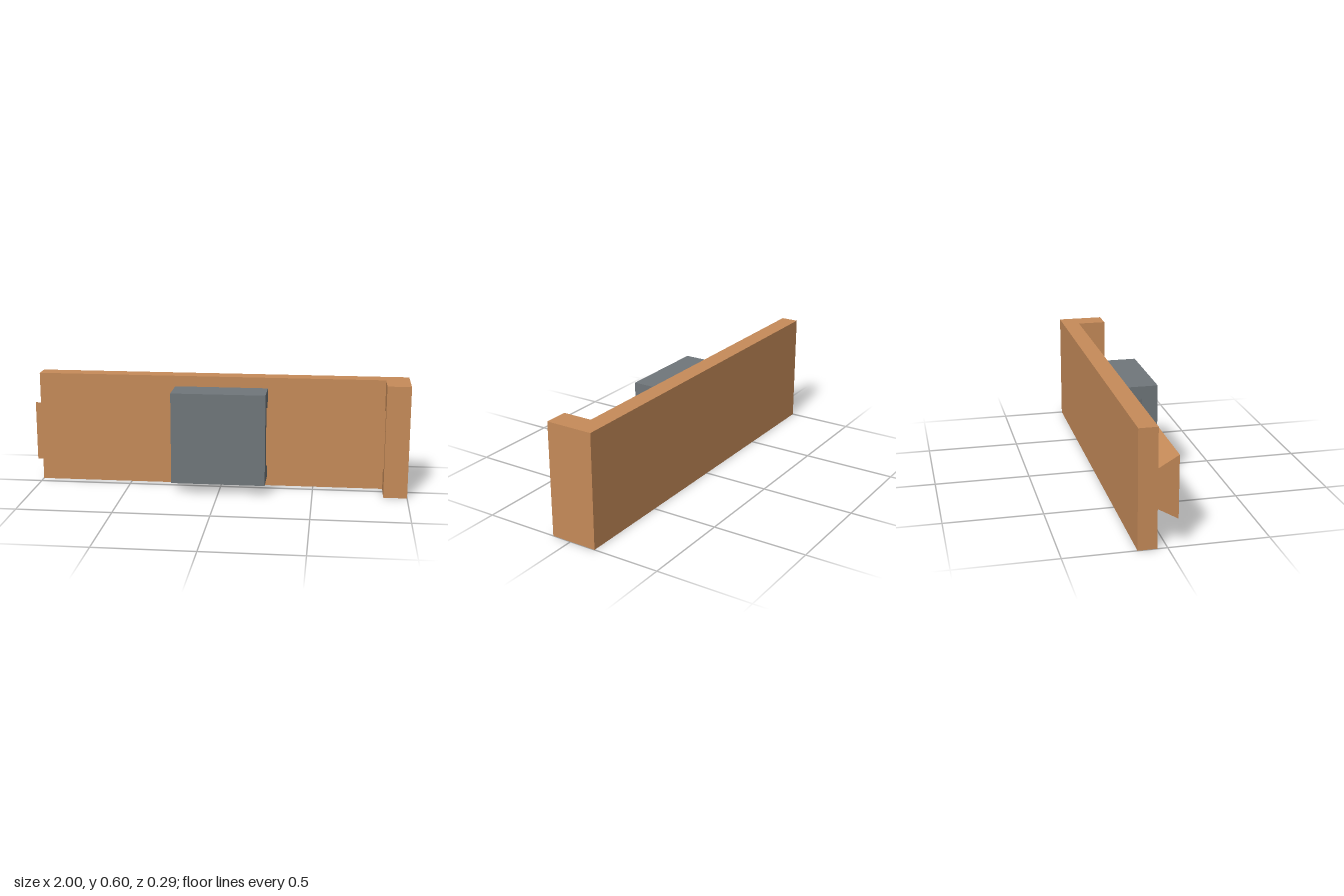
import * as THREE from 'three';

const brown = new THREE.MeshStandardMaterial({ color: 0xc68b59 });
brown.name = 'warm brown';
const grey = new THREE.MeshStandardMaterial({ color: 0x70777b });
grey.name = 'slate grey';

// Flat-sided prism from a list of outline corners
function prism(points, depth) {
  const shape = new THREE.Shape(points.map(([a, b]) => new THREE.Vector2(a, b)));
  return new THREE.ExtrudeGeometry(shape, { depth, bevelEnabled: false });
}

// Prism running along x from x0 to x1, outline given as [z, y]
function prismAlongX(points, x0, x1) {
  return prism(points.map(([z, y]) => [-z, y]), x1 - x0)
    .rotateY(Math.PI / 2)
    .translate(x0, 0, 0);
}

// Prism rising from y = 0, outline given as [x, z]
function prismAlongY(points, height) {
  return prism(points.map(([x, z]) => [x, -z]), height).rotateX(-Math.PI / 2);
}

export function createModel() {
  const group = new THREE.Group();
  const add = (name, geometry, material) => {
    const mesh = new THREE.Mesh(geometry, material);
    mesh.name = name;
    group.add(mesh);
  };

  const height = 0.6, mid = height / 2;
  const back = -0.144, plateFront = -0.05, railFront = 0.05, stopFront = 0.106;
  const stopX = 0.875;

  // L-shaped back plate with the end stop
  add('basePlateWithStop', prismAlongY([
    [-1, back], [1, back], [1, stopFront], [stopX, stopFront],
    [stopX, plateFront], [-1, plateFront],
  ], height), brown);

  // Dovetail rail, widening towards the front
  const railBackHalf = 0.1, railFrontHalf = 0.158;
  add('dovetailRail', prismAlongX([
    [plateFront, mid - railBackHalf], [railFront, mid - railFrontHalf],
    [railFront, mid + railFrontHalf], [plateFront, mid + railBackHalf],
  ], -1, stopX), brown);

  // Sliding block with a matching dovetail slot, slightly larger than the rail
  const blockHalf = 0.245, blockBack = -0.0375, blockFront = 0.144;
  const slotFront = 0.0625, slotMouthHalf = 0.123, slotFloorHalf = 0.181;
  add('slidingBlock', prismAlongX([
    [blockFront, mid - blockHalf], [blockFront, mid + blockHalf],
    [blockBack, mid + blockHalf], [blockBack, mid + slotMouthHalf],
    [slotFront, mid + slotFloorHalf], [slotFront, mid - slotFloorHalf],
    [blockBack, mid - slotMouthHalf], [blockBack, mid - blockHalf],
  ], -0.25, 0.25), grey);

  return group;
}
